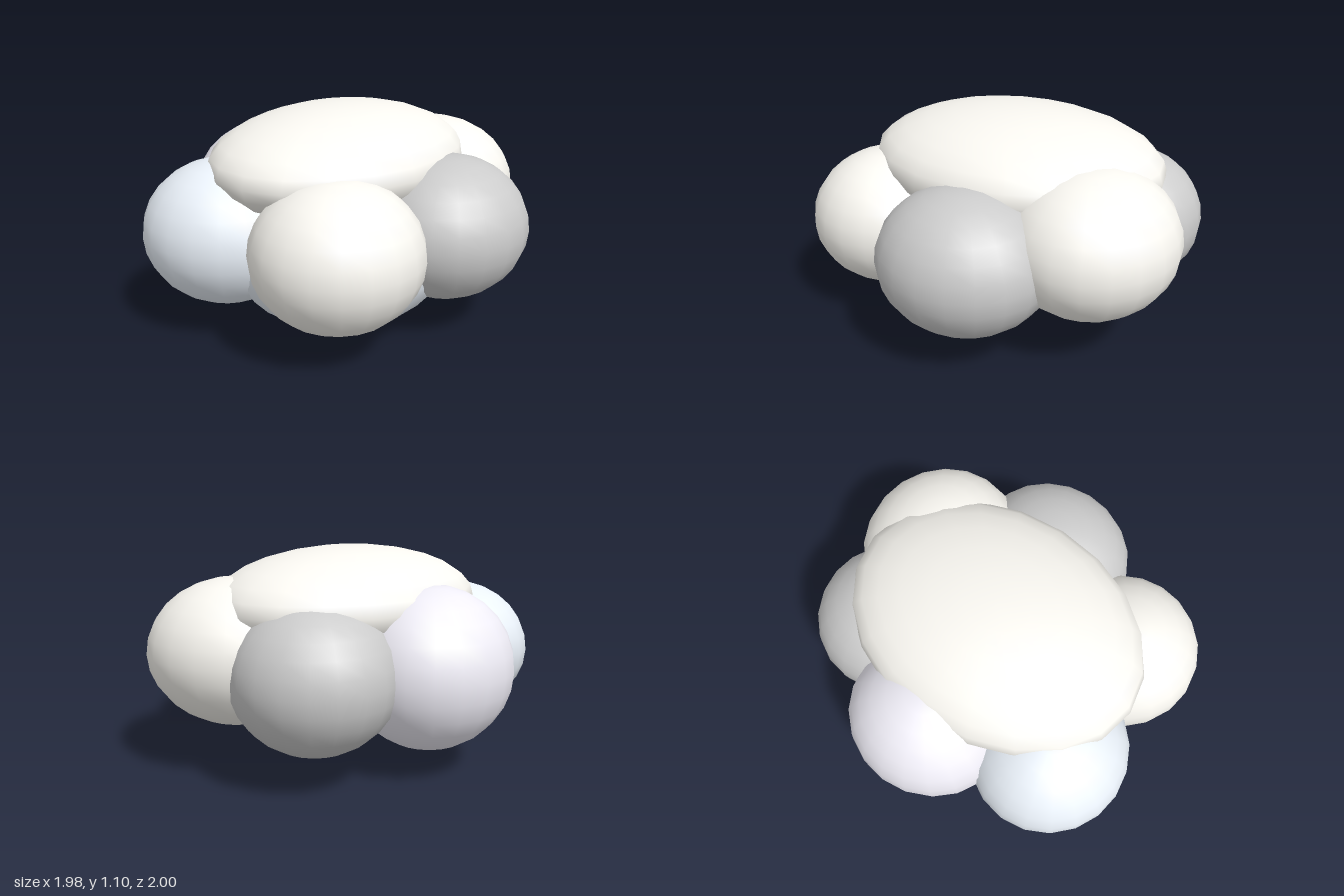
import * as THREE from 'three';

const CREAM = 0xfaf8f2, BLUE = 0xeaf1f9, LAVENDER = 0xf0eef7, GREY = 0xcccccc;

// name, colour, centre, radii, turn about y
const LOBES = [
  ['topLobe', CREAM, [-0.04, 0.82, 0], [0.62, 0.28, 0.81], 0],
  ['bottomLobe', BLUE, [0.1, 0.41, 0.2], [0.57, 0.41, 0.62], 0],
  ['frontRightLobe', BLUE, [-0.36, 0.505, 0.57], [0.43, 0.372, 0.415], 0],
  ['frontLeftLobe', CREAM, [0.32, 0.515, 0.58], [0.42, 0.365, 0.415], 0],
  ['leftLobe', GREY, [0.57, 0.52, -0.05], [0.415, 0.366, 0.45], 0],
  ['rightLobe', LAVENDER, [-0.58, 0.525, -0.04], [0.41, 0.41, 0.44], 0],
  ['backRightLobe', GREY, [-0.26, 0.525, -0.55], [0.412, 0.37, 0.405], 0],
  ['backLeftLobe', CREAM, [0.23, 0.595, -0.56], [0.465, 0.372, 0.44], 0],
];

// Smooth ellipsoid with its scale baked into the geometry
function lobe([name, color, centre, radii, turn]) {
  const geometry = new THREE.SphereGeometry(1, 20, 14);
  geometry.scale(...radii);
  const mesh = new THREE.Mesh(geometry, new THREE.MeshStandardMaterial({ color }));
  mesh.name = name;
  mesh.position.set(...centre);
  mesh.rotation.y = turn;
  return mesh;
}

export function createModel() {
  const group = new THREE.Group();
  group.name = 'lobedCluster';
  LOBES.forEach((entry) => group.add(lobe(entry)));
  return group;
}
